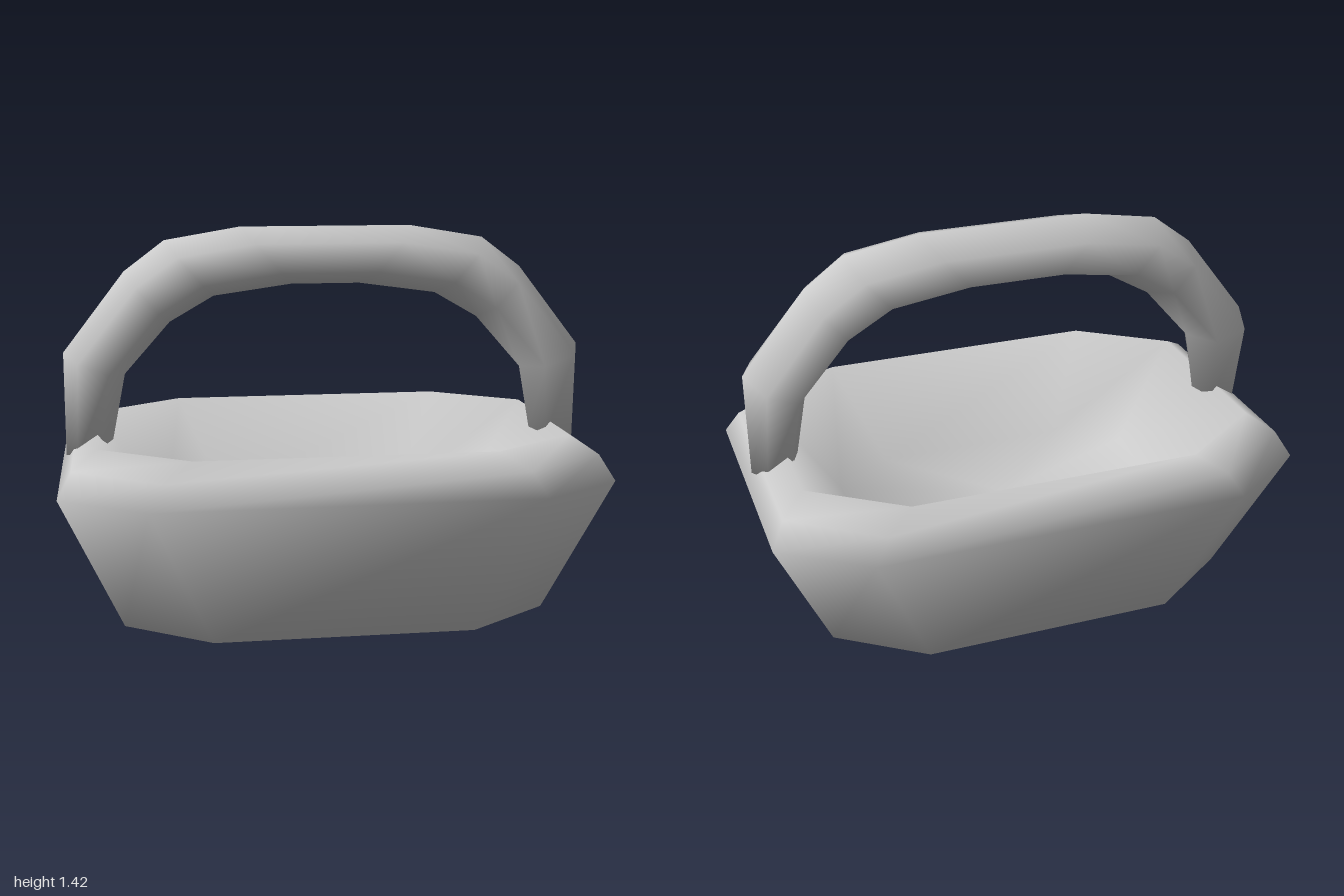
import * as THREE from 'three';

const material = new THREE.MeshStandardMaterial({ color: 0xcccccc });

// Smooth normals weighted by corner angle, so long faces do not dominate short ones.
function angleNormals(positions, index) {
  const points = [];
  for (let i = 0; i < positions.length; i += 3) points.push(new THREE.Vector3().fromArray(positions, i));
  const normals = points.map(() => new THREE.Vector3());
  for (let f = 0; f < index.length; f += 3) {
    for (let k = 0; k < 3; k++) {
      const [a, b, c] = [0, 1, 2].map((s) => index[f + (k + s) % 3]);
      const u = points[b].clone().sub(points[a]);
      const v = points[c].clone().sub(points[a]);
      normals[a].addScaledVector(u.clone().cross(v).normalize(), u.angleTo(v));
    }
  }
  return normals.flatMap((n) => n.normalize().toArray());
}

// Skins a list of equal-length point rings and closes both ends with a fan.
function loft(rings) {
  const n = rings[0].length;
  const positions = rings.flat(2);
  const index = [];
  for (let r = 0; r < rings.length - 1; r++) {
    for (let i = 0; i < n; i++) {
      const j = (i + 1) % n;
      const a = r * n + i, b = r * n + j;
      index.push(a, a + n, b, a + n, b + n, b);
    }
  }
  const addCap = (ring, start, flip) => {
    const centre = positions.length / 3;
    for (let k = 0; k < 3; k++) positions.push(ring.reduce((s, p) => s + p[k], 0) / n);
    for (let i = 0; i < n; i++) {
      const a = start + i, b = start + (i + 1) % n;
      index.push(centre, flip ? b : a, flip ? a : b);
    }
  };
  addCap(rings[0], 0, false);
  addCap(rings[rings.length - 1], (rings.length - 1) * n, true);

  const geometry = new THREE.BufferGeometry();
  geometry.setAttribute('position', new THREE.Float32BufferAttribute(positions, 3));
  geometry.setAttribute('normal', new THREE.Float32BufferAttribute(angleNormals(positions, index), 3));
  geometry.setIndex(index);
  return geometry;
}

// Rectangle with cut corners: half sizes x, z and corner points cx, cz.
const octagon = ([y, x, z, cx, cz]) => [
  [x, y, cz], [cx, y, z], [-cx, y, z], [-x, y, cz],
  [-x, y, -cz], [-cx, y, -z], [cx, y, -z], [x, y, -cz],
];

// Six-sided handle section between an outer and an inner ridge.
function hexagon([ox, oy, ix, iy, w, dz]) {
  const at = (t, z) => [ox + (ix - ox) * t, oy + (iy - oy) * t, z + dz];
  return [at(0, 0), at(0.25, -w), at(0.75, -w), at(1, 0), at(0.75, w), at(0.25, w)];
}

export function createModel() {
  const group = new THREE.Group();
  group.name = 'basket';

  // Bowl: underside, flared wall, rounded rim, then down to the inner floor
  const bowl = new THREE.Mesh(loft([
    [0, 0.78, 0.53, 0.47, 0.31],
    [0.52, 1, 0.675, 0.69, 0.465],
    [0.61, 0.95, 0.645, 0.635, 0.42],
    [0.67, 0.86, 0.575, 0.535, 0.345],
    [0.3, 0.6, 0.4, 0.37, 0.24],
  ].map(octagon)), material);
  bowl.name = 'bowl';
  group.add(bowl);

  // Handle: half of the arch, mirrored, with a slight twist at the shoulders
  const half = [
    [0.98, 0.575, 0.805, 0.63, 0.09, 0],
    [0.98, 0.96, 0.755, 0.875, 0.157, 0.017],
    [0.75, 1.26, 0.585, 1.07, 0.148, 0],
    [0.6, 1.373, 0.42, 1.165, 0.157, 0],
    [0.32, 1.42, 0.13, 1.205, 0.157, 0],
  ];
  const mirrored = half.map(([ox, oy, ix, iy, w, dz]) => [-ox, oy, -ix, iy, w, -dz]);
  const handle = new THREE.Mesh(loft([...mirrored, ...half.reverse()].map(hexagon)), material);
  handle.name = 'handle';
  group.add(handle);

  return group;
}
